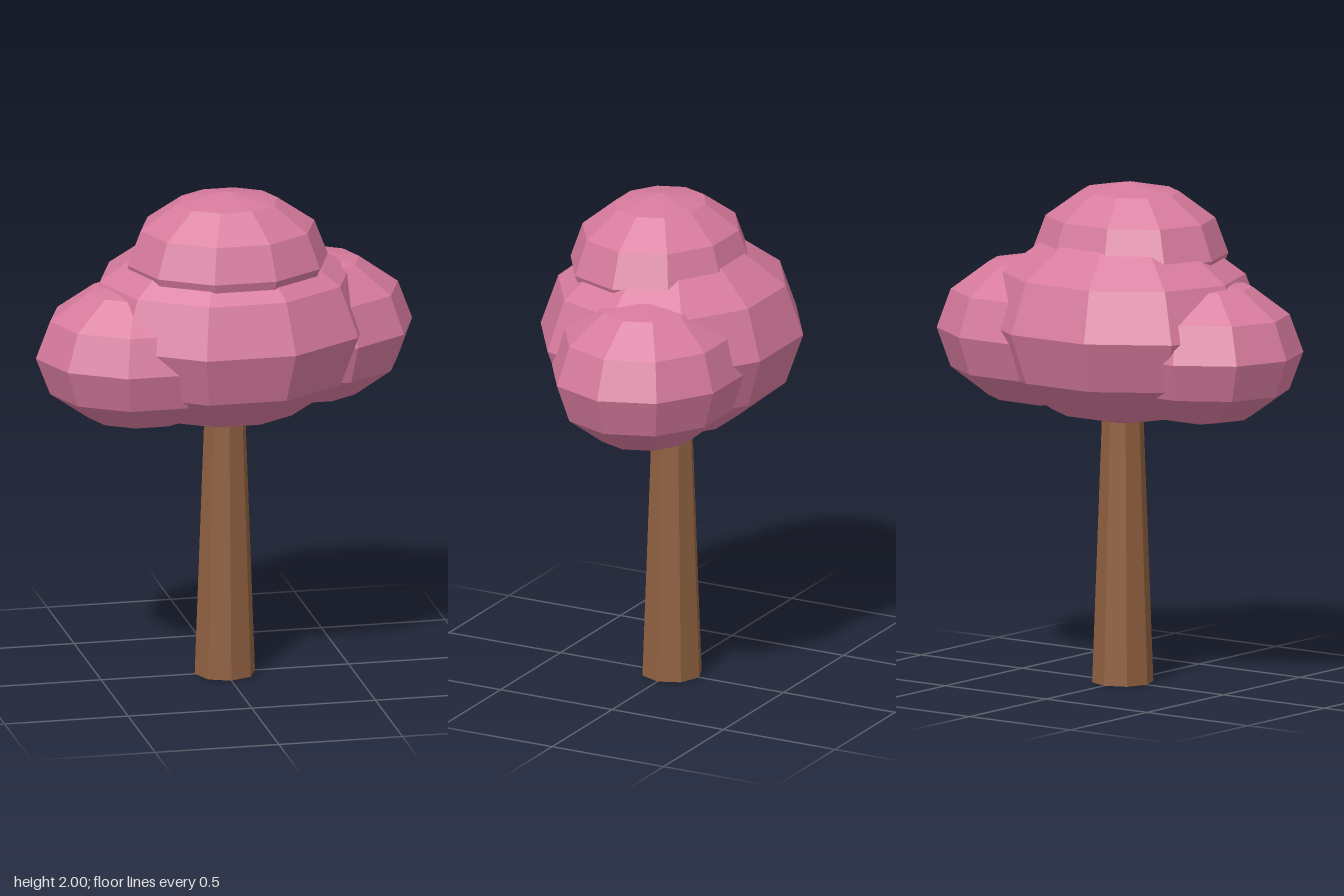
import * as THREE from 'three';

const bark = new THREE.MeshStandardMaterial({ color: 0x8f6040, flatShading: true });
const blossom = new THREE.MeshStandardMaterial({ color: 0xd67a9c, flatShading: true });

// Faceted ellipsoid clump of foliage
function clump(name, center, radii) {
  const geometry = new THREE.SphereGeometry(1, 10, 6);
  geometry.scale(...radii);
  const mesh = new THREE.Mesh(geometry, blossom);
  mesh.name = name;
  mesh.position.set(...center);
  return mesh;
}

export function createModel() {
  const tree = new THREE.Group();
  tree.name = 'tree';

  // Tapered eight-sided trunk, its top buried in the crown
  const height = 1.2;
  const trunk = new THREE.Mesh(new THREE.CylinderGeometry(0.078, 0.122, height, 8), bark);
  trunk.name = 'trunk';
  trunk.position.y = height / 2;

  // Crown of four overlapping clumps
  const crown = new THREE.Group();
  crown.name = 'crown';
  crown.add(
    clump('mainFoliage', [0, 1.44, 0], [0.585, 0.405, 0.517]),
    clump('topFoliage', [0, 1.72, 0.05], [0.405, 0.28, 0.355]),
    clump('leftFoliage', [0.345, 1.39, -0.08], [0.43, 0.31, 0.38]),
    clump('rightFoliage', [-0.345, 1.36, 0.05], [0.43, 0.3, 0.37]),
  );

  tree.add(trunk, crown);
  return tree;
}
